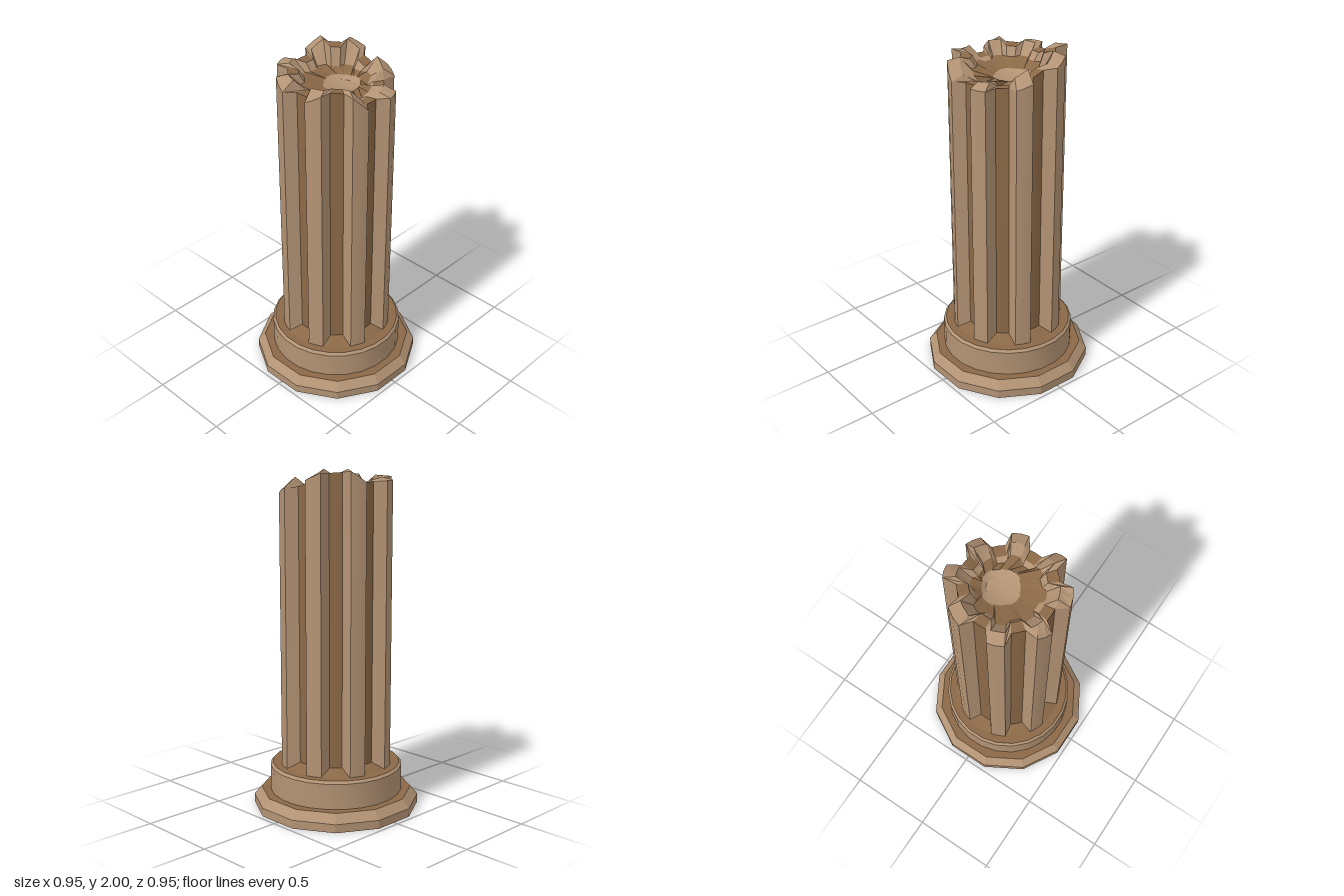
import * as THREE from 'three';
import { toCreasedNormals } from 'three/addons/utils/BufferGeometryUtils.js';

const stone = new THREE.MeshStandardMaterial({ color: 0xb39374 });
stone.name = 'light stone';
const shade = new THREE.MeshStandardMaterial({ color: 0x8b6947 });
shade.name = 'brown stone';

// Broken top: [outer start, outer end, tip start, tip end] heights of each ridge
const RIDGES = [
  [1.89, 1.86, 1.95, 1.91], [1.85, 1.85, 1.88, 1.87],
  [1.84, 1.93, 1.87, 1.945], [1.94, 1.89, 1.945, 1.945],
  [1.89, 1.94, 1.945, 1.945], [1.93, 1.93, 1.945, 1.94],
  [1.93, 1.99, 1.95, 2.0], [1.98, 1.94, 2.0, 1.95],
];
const ANGLES = [-8, 0, 8, 14.5, 22.5, 30.5]; // flute floor x3, ridge x3
const rad = THREE.MathUtils.degToRad;

// Ring of 48 points; fn(column, unit, angle) gives [radius, y, angle override]
function ring(fn, cx = 0) {
  const points = [];
  for (let k = 0; k < 8; k++) {
    ANGLES.forEach((a, c) => {
      const [r, y, b = a] = fn(c, k);
      const t = rad(k * 45 + b);
      points.push(new THREE.Vector3(cx + r * Math.cos(t), y, r * Math.sin(t)));
    });
  }
  return points;
}

// Height on ridge or flute columns; offset 0 is the outer edge, 2 the inner tip
function topY(c, k, offset) {
  const h = RIDGES[k], prev = RIDGES[(k + 7) % 8];
  if (c < 3) {
    const t = [0.25, 0.5, 0.75][c];
    return THREE.MathUtils.lerp(prev[1], h[0], t) - (offset ? 0.01 : 0.005);
  }
  return THREE.MathUtils.lerp(h[offset], h[offset + 1], (c - 3) / 2);
}

// Skin successive rings, keeping only the columns accepted by the filter
function skin(name, rings, material, accept = () => true) {
  const pos = [];
  for (let i = 0; i < rings.length - 1; i++) {
    const a = rings[i], b = rings[i + 1], n = a.length;
    for (let j = 0; j < n; j++) {
      if (!accept(j % 6)) continue;
      const m = (j + 1) % n;
      for (const p of [a[j], b[j], a[m], a[m], b[j], b[m]]) pos.push(p.x, p.y, p.z);
    }
  }
  const g = new THREE.BufferGeometry();
  g.setAttribute('position', new THREE.Float32BufferAttribute(pos, 3));
  const mesh = new THREE.Mesh(toCreasedNormals(g, 0.45), material);
  mesh.name = name;
  return mesh;
}

// Turned band from a profile, with a chosen number of sides
function turned(name, profile, sides, material, crease) {
  const g = new THREE.LatheGeometry(profile.map(([x, y]) => new THREE.Vector2(x, y)), sides, Math.PI / sides);
  const mesh = new THREE.Mesh(toCreasedNormals(g, crease), material);
  mesh.name = name;
  return mesh;
}

export function createModel() {
  const group = new THREE.Group();
  group.name = 'brokenColumn';

  // Twelve-sided plinth and round drum, with brown ledges
  group.add(
    turned('plinth', [[0, 0], [0.49, 0], [0.49, 0.05], [0.447, 0.1]], 12, stone, 0.3),
    turned('plinthLedge', [[0.447, 0.1], [0.3, 0.1]], 12, shade, 0.3),
    turned('drum', [[0.391, 0.1], [0.391, 0.25], [0.377, 0.265]], 24, stone, 0.4),
    turned('drumLedge', [[0.377, 0.265], [0.24, 0.265]], 24, shade, 0.4),
  );

  // Fluted shaft: flutes run out to full radius at the foot
  const outerR = (c) => (c < 3 ? 0.26 : c === 4 ? 0.331 : 0.329);
  const foot = ring((c) => [0.33, 0.265, [-14, 0, 14, 14.5, 22.5, 30.5][c]]);
  const low = ring((c) => [outerR(c), 0.303]);
  const edge = ring((c, k) => [outerR(c), topY(c, k, 0)]);
  const isFlute = (c) => c < 2;
  const isRidge = (c) => c >= 2;
  group.add(
    skin('shaftFlutes', [foot, low, edge], shade, isFlute),
    skin('shaftRidges', [foot, low, edge], stone, isRidge),
  );

  // Jagged rim: bevel up to the tips, then a drop into the crater
  const tip = ring((c, k) => [c < 3 ? 0.2 : 0.262, topY(c, k, 2)]);
  const inner = ring((c, k) => [c < 3 ? 0.17 : 0.197, Math.min(1.875, topY(c, k, 2) - 0.015)]);
  group.add(
    skin('rimNotches', [edge, tip], shade, isFlute),
    skin('rimBevels', [edge, tip], stone, isRidge),
    skin('rimInside', [tip, inner], stone),
  );

  // Crater floor with an off-centre pit
  const bowl = ring((c, k) => [k % 2 ? 0.1 : 0.108, 1.843], 0.045);
  const pit = ring(() => [0.055, 1.822], 0.07);
  const centre = ring(() => [0.001, 1.818], 0.07);
  group.add(
    skin('craterFloor', [inner, bowl], shade),
    skin('craterPit', [bowl, pit, centre], stone),
  );
  return group;
}
